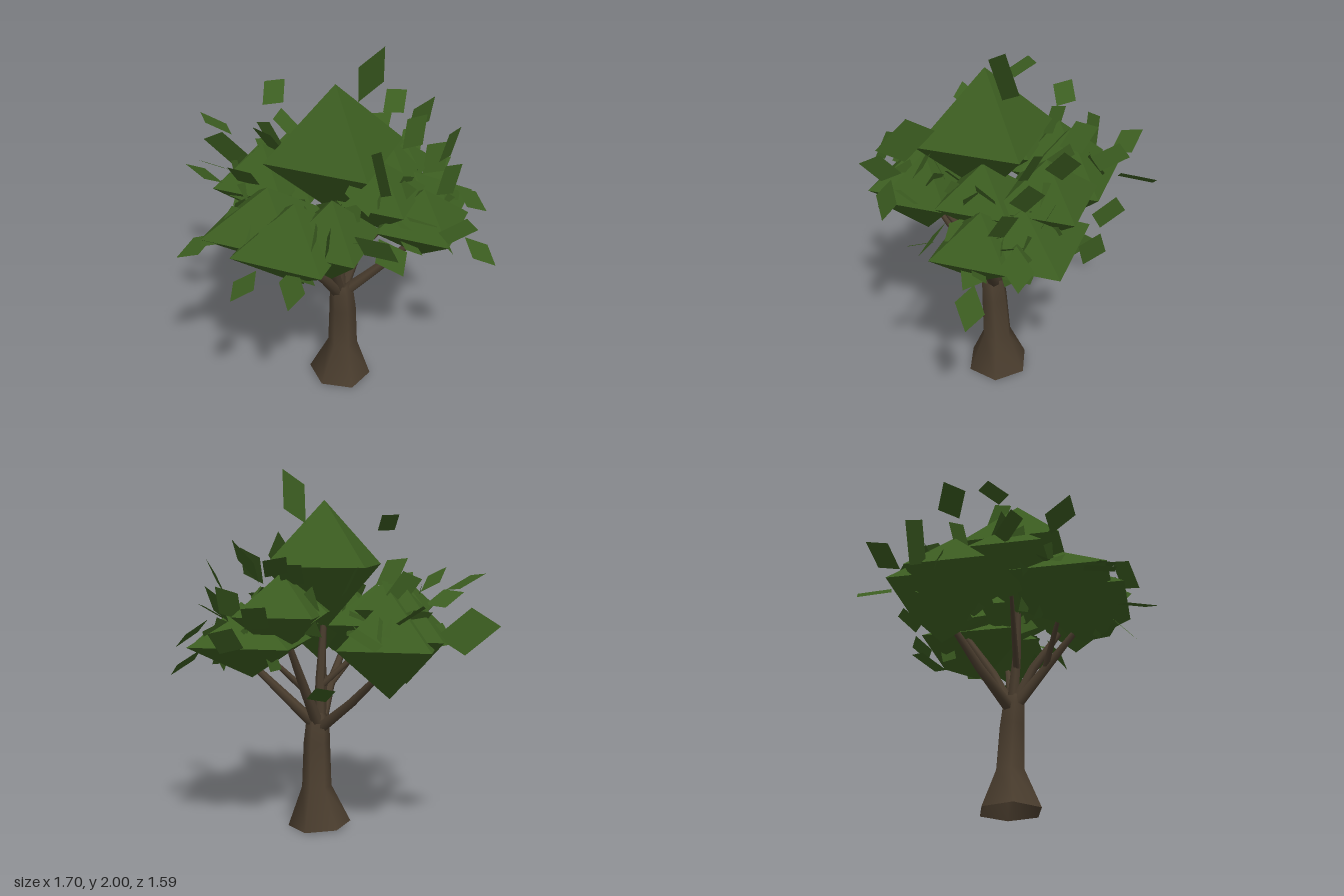
import * as THREE from 'three';
import { mergeGeometries } from 'three/addons/utils/BufferGeometryUtils.js';

const V = (a) => new THREE.Vector3(...a);
const UP = new THREE.Vector3(0, 1, 0);

// Open tapering limb: one ring of vertices per point, with a radius for each
function limbGeometry(points, radii, sides) {
  const pos = [], index = [];
  points.forEach((p, i) => {
    const a = V(points[Math.max(i - 1, 0)]);
    const b = V(points[Math.min(i + 1, points.length - 1)]);
    const turn = new THREE.Quaternion().setFromUnitVectors(UP, b.sub(a).normalize());
    for (let s = 0; s < sides; s++) {
      const t = (s / sides) * Math.PI * 2;
      const v = new THREE.Vector3(Math.sin(t) * radii[i], 0, Math.cos(t) * radii[i]);
      v.applyQuaternion(turn).add(V(p));
      pos.push(v.x, Math.max(0, v.y), v.z);
      if (i === 0) continue;
      const n = (s + 1) % sides, lo = (i - 1) * sides, hi = i * sides;
      index.push(lo + s, lo + n, hi + s, lo + n, hi + n, hi + s);
    }
  });
  const g = new THREE.BufferGeometry();
  g.setAttribute('position', new THREE.Float32BufferAttribute(pos, 3));
  g.setIndex(index);
  g.computeVertexNormals();
  return g;
}

// Flat four-cornered leaf: centre, half-length vector, facing direction
function leafGeometry(centre, along, facing) {
  const side = facing.clone().cross(along).setLength(along.length() * 0.72);
  const skew = along.clone().multiplyScalar(0.2);
  const corners = [
    centre.clone().add(along),
    centre.clone().add(side).add(skew),
    centre.clone().sub(along),
    centre.clone().sub(side).sub(skew),
  ];
  const g = new THREE.BufferGeometry().setFromPoints([0, 1, 2, 0, 2, 3].map((i) => corners[i]));
  g.computeVertexNormals();
  return g;
}

export function createModel() {
  const tree = new THREE.Group();
  tree.name = 'tree';
  const bark = new THREE.MeshStandardMaterial({ color: 0x4a3d2e, side: THREE.DoubleSide });
  bark.name = 'bark brown';
  const green = new THREE.MeshStandardMaterial({ color: 0x3b5c20, side: THREE.DoubleSide, flatShading: true });
  green.name = 'leaf green';
  const add = (name, geometry, material, parent = tree) => {
    const mesh = new THREE.Mesh(geometry, material);
    mesh.name = name;
    parent.add(mesh);
    return mesh;
  };
  let seed = 7;
  const rand = () => (seed = (seed * 16807) % 2147483647) / 2147483647;
  const spread = () => rand() * 2 - 1;

  // Trunk with a flared, open foot
  const trunkPath = [[0.058, 0.008, 0.112], [0.07, 0.23, 0.12], [0.062, 0.48, 0.13], [0.052, 0.6, 0.135], [0.047, 0.65, 0.14]];
  add('trunk', limbGeometry(trunkPath, [0.178, 0.084, 0.075, 0.066, 0.045], 6), bark);

  // Main branches fork from the trunk top: bend, tip
  const branches = new THREE.Group();
  branches.name = 'branches';
  tree.add(branches);
  [
    [[-0.1, 0.78, 0.24], [-0.3, 1.02, 0.36]],
    [[-0.03, 0.8, 0.21], [-0.12, 1.05, 0.36]],
    [[0.03, 0.85, 0.14], [0, 1.25, 0.14]],
    [[0.17, 0.8, 0.08], [0.34, 1.1, -0.02]],
    [[0.22, 0.76, 0.23], [0.41, 0.98, 0.34]],
    [[0, 0.74, -0.12], [-0.06, 0.98, -0.39]],
  ].forEach((path) => add('branch', limbGeometry([[0.05, 0.56, 0.12], ...path], [0.036, 0.027, 0.016], 6), bark, branches));

  // Thin forks: start, tip
  [
    [[0.03, 0.8, 0.14], [-0.27, 1.15, -0.1]],
    [[-0.1, 0.78, 0.24], [-0.36, 1.08, 0.18]],
    [[0.17, 0.8, 0.08], [0.42, 1.05, 0.15]],
  ].forEach((path) => add('twig', limbGeometry(path, [0.02, 0.01], 6), bark, branches));

  // Foliage clumps: x, y, z, radius, half height
  const clumps = [
    [0, 1.48, 0.14, 0.39, 0.36],
    [-0.06, 1.08, -0.39, 0.34, 0.28],
    [-0.17, 1.12, -0.39, 0.3, 0.25],
    [0.37, 1.24, -0.02, 0.3, 0.22],
    [0.21, 1.23, 0.25, 0.27, 0.2],
    [0.46, 1.08, 0.15, 0.38, 0.19],
    [0.41, 1.08, 0.36, 0.28, 0.2],
    [-0.31, 1.12, 0.36, 0.34, 0.23],
    [-0.14, 1.14, 0.43, 0.27, 0.23],
    [-0.38, 1.14, 0.17, 0.36, 0.22],
    [-0.3, 1.25, -0.12, 0.28, 0.21],
  ];
  const crown = new THREE.Group();
  crown.name = 'crown';
  tree.add(crown);
  for (const [x, y, z, r, h] of clumps) {
    const clump = add('foliageClump', new THREE.OctahedronGeometry(1), green, crown);
    clump.position.set(x, y, z);
    clump.scale.set(r, h, r);
  }

  // Leaves with their own direction: centre, half-length vector, facing
  const free = [
    [[0.2, 1.855, 0.13], [0.06, 0.145, 0.02], [0.35, 0, 1]],
    [[-0.21, 1.715, -0.17], [0.08, 0.04, -0.05], [0, 0.8, 0.6]],
    [[0.04, 1.55, 0.59], [-0.02, -0.03, 0.15], [1, 0, 0.15]],
    [[-0.48, 1.28, 0.53], [0.05, 0.09, -0.05], [0, 0.5, 0.8]],
    [[0.57, 1.52, 0], [0.06, 0.11, 0.03], [1, -0.5, 0.1]],
    [[-0.32, 1.17, -0.7], [-0.11, 0.03, -0.12], [0.8, 0.3, -0.7]],
    [[0.27, 1.16, -0.635], [0.13, 0.04, -0.04], [0.1, 0.8, -0.5]],
    [[-0.02, 1.21, 0.69], [0.09, -0.06, 0.06], [0.2, -0.6, 0.8]],
  ].map((leaf) => leafGeometry(...leaf.map(V)));
  add('freeLeaves', mergeGeometries(free), green, crown);

  // Rim leaves point away from the trunk: x, y, z, pitch, roll
  const rim = [
    [0.05, 1.27, -0.7, 0.5, 0.3], [-0.42, 1.41, -0.56, 0.4, 0.3],
    [0.55, 1.5, -0.27, 0.3, 0.6], [0.73, 1.13, -0.08, 0.4, 0.9],
    [-0.64, 1.39, -0.04, 0.65, 0], [-0.75, 1.07, 0.11, -0.3, 0.1],
    [-0.62, 1.02, 0.47, -0.2, 0.3], [-0.25, 1.27, 0.64, 0.3, 1.4],
    [0.43, 1.2, 0.68, 0.4, 0.4], [0.67, 0.94, 0.54, -0.7, 0.2],
    [0.73, 1.13, 0.32, -0.7, 0.3], [0.29, 0.84, -0.27, 0.5, 0.2],
    [0.47, 1.49, 0.12, 1, 0.6], [0.63, 1.43, 0.22, 1.1, 0],
    [-0.52, 1.3, -0.28, 0.3, 0.5], [0.15, 1.42, -0.33, 0.5, 1],
    [0.64, 1.25, -0.22, 0.5, 0.7], [0.62, 1.3, 0.1, 0.9, 0.8],
    [0.58, 1.28, 0.32, 1, 0.5], [-0.17, 1.38, -0.36, 0.4, 1.4],
    [-0.4, 1, 0.55, -0.8, 0.4], [-0.25, 1.45, -0.15, 0.7, 0.8],
    [0.36, 1.45, -0.1, 0.5, 0.6], [0, 1.4, 0.48, -0.9, 0.4],
    [0.15, 1.02, 0.52, -0.6, 0.7], [-0.45, 1.36, 0.02, 0.7, 0.6],
  ].map(([x, y, z, pitch, roll]) => {
    const outward = new THREE.Vector3(x, 0, z).normalize();
    const tangent = UP.clone().cross(outward);
    const along = outward.applyAxisAngle(tangent, -pitch);
    const facing = along.clone().cross(tangent).applyAxisAngle(along, roll);
    return leafGeometry(new THREE.Vector3(x, y, z), along.multiplyScalar(0.115), facing);
  });
  add('rimLeaves', mergeGeometries(rim), green, crown);

  // Small leaves scattered over the lower clumps
  const scattered = [];
  clumps.slice(1).forEach(([x, y, z, r, h]) => {
    for (let i = 0; i < 8; i++) {
      const d = new THREE.Vector3(spread(), spread(), spread());
      d.divideScalar(Math.abs(d.x) + Math.abs(d.y) + Math.abs(d.z));
      const centre = new THREE.Vector3(x + d.x * r * 0.9, y + d.y * h, z + d.z * r * 0.9);
      const along = new THREE.Vector3(spread(), spread(), spread()).setLength(0.07 + rand() * 0.04);
      const facing = new THREE.Vector3(spread(), spread(), spread());
      scattered.push(leafGeometry(centre, along, facing));
    }
  });
  add('scatteredLeaves', mergeGeometries(scattered), green, crown);
  return tree;
}
